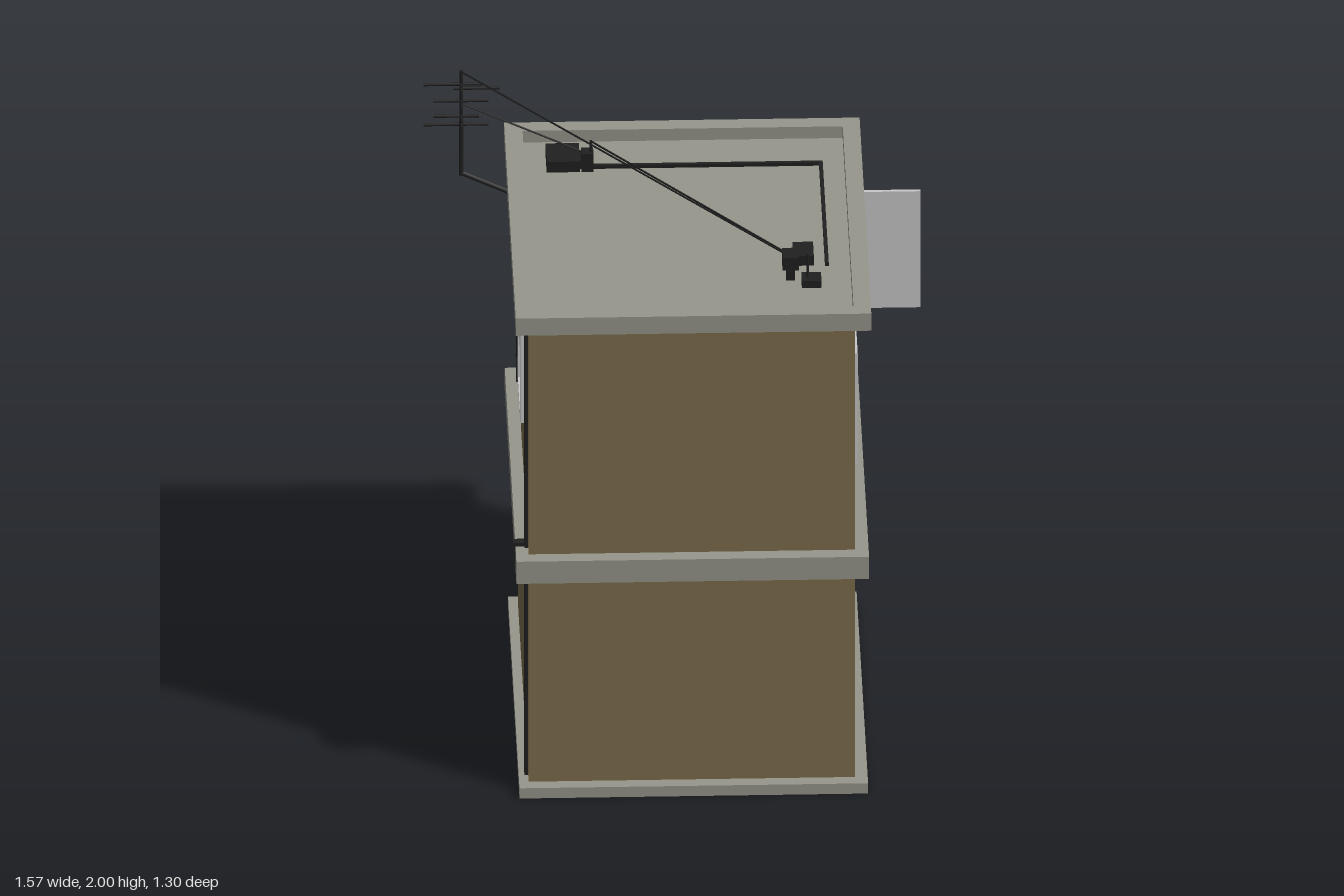
import * as THREE from 'three';

const mat = (name, color, side = THREE.FrontSide) => {
  const m = new THREE.MeshStandardMaterial({ color, side });
  m.name = name;
  return m;
};

export function createModel() {
  const root = new THREE.Group();
  root.name = 'building';
  const wall = mat('brown wall', 0x7e6f4c, THREE.DoubleSide);
  const stone = mat('grey stone', 0x96968b);
  const pale = mat('pale grey', 0xc8c8ca);
  const glass = mat('yellow glass', 0xc9bf0e);
  const black = mat('black metal', 0x202020);
  const doorGrey = mat('door grey', 0x707070);
  const frameGrey = mat('dark frame grey', 0x464646);

  const add = (name, geo, m, parent = root) => {
    const mesh = new THREE.Mesh(geo, m);
    mesh.name = name;
    parent.add(mesh);
    return mesh;
  };
  // Box given by its minimum and maximum corners
  const box = (name, m, x0, x1, y0, y1, z0, z1, parent = root) => {
    const b = add(name, new THREE.BoxGeometry(x1 - x0, y1 - y0, z1 - z0), m, parent);
    b.position.set((x0 + x1) / 2, (y0 + y1) / 2, (z0 + z1) / 2);
    return b;
  };
  // Straight thin rod between two points
  const rod = (name, a, b, r, m = black, parent = root) => {
    const p = new THREE.Vector3(...a), q = new THREE.Vector3(...b);
    const d = q.clone().sub(p);
    const mesh = add(name, new THREE.CylinderGeometry(r, r, d.length(), 6), m, parent);
    mesh.position.copy(p).add(q).multiplyScalar(0.5);
    mesh.quaternion.setFromUnitVectors(new THREE.Vector3(0, 1, 0), d.normalize());
    return mesh;
  };
  const rect = (S, x0, x1, y0, y1) => new S().moveTo(x0, y0).lineTo(x1, y0).lineTo(x1, y1).lineTo(x0, y1).closePath();
  const panel = (outer, holes, depth) => {
    const s = rect(THREE.Shape, ...outer);
    holes.forEach((h) => s.holes.push(rect(THREE.Path, ...h)));
    return new THREE.ExtrudeGeometry(s, { depth, bevelEnabled: false });
  };
  // Horizontal rectangular ring; bounds are x0, x1, z0, z1
  const ring = (name, o, i, y0, y1) => {
    const flip = ([a, b, c, d]) => [a, b, -d, -c];
    const geo = panel(flip(o), [flip(i)], y1 - y0);
    geo.rotateX(-Math.PI / 2);
    add(name, geo, stone).position.y = y0;
  };

  // Walls, open at the bottom
  const X0 = -0.485, X1 = 0.545, Z0 = -0.555, Z1 = 0.595;
  const shell = panel([X0, X1, -Z1, -Z0], [[X0 + 0.004, X1 - 0.004, -Z1 + 0.004, -Z0 - 0.004]], 1.69);
  shell.rotateX(-Math.PI / 2);
  add('walls', shell, wall).position.y = 0.005;

  // Plinth, middle band, cornice and roof
  ring('plinth', [-0.515, 0.585, -0.595, 0.637], [-0.46, 0.52, -0.53, 0.57], 0, 0.037);
  ring('middleBand', [-0.525, 0.588, -0.605, 0.642], [-0.46, 0.52, -0.53, 0.57], 0.78, 0.86);
  ring('cornice', [-0.527, 0.595, -0.615, 0.645], [-0.47, 0.54, -0.56, 0.595], 1.68, 1.742);
  box('roofDeck', stone, -0.475, 0.541, 1.684, 1.70, -0.561, 0.596);

  // Facade groups: local x runs to the viewer's right, local z points outwards
  const facade = (name, x, z, ry) => {
    const g = new THREE.Group();
    g.name = name;
    g.position.set(x, 0, z);
    g.rotation.y = ry;
    root.add(g);
    return g;
  };
  const back = facade('backFacade', 0, Z0, Math.PI);
  const right = facade('positiveXFacade', X1, 0, Math.PI / 2);
  const left = facade('negativeXFacade', X0, 0, -Math.PI / 2);

  const windowAt = (parent, cx, y0, w, h) => {
    const g = new THREE.Group();
    g.name = 'window';
    g.position.set(cx, y0, 0);
    parent.add(g);
    const f = 0.014, a = w / 2 - f;
    add('windowFrame', panel([-w / 2, w / 2, 0, h],
      [[-a, a, f, h * 0.61], [-a, a, h * 0.7, h - f]], 0.013), pale, g);
    box('windowGlass', glass, -a, a, f, h - f, 0, 0.005, g);
  };
  for (const z of [0.302, -0.268]) windowAt(right, -z, 1.085, 0.285, 0.4);
  windowAt(right, 0.008, 0.25, 0.28, 0.405);
  windowAt(left, 0.008, 1.085, 0.285, 0.4);
  windowAt(back, -0.065, 1.085, 0.285, 0.4);
  for (const x of [-0.388, 0.275]) {
    windowAt(back, x, 0.3, 0.195, 0.255);
    windowAt(back, x, 1.175, 0.195, 0.255);
  }

  // Door
  const door = new THREE.Group();
  door.name = 'door';
  door.position.x = -0.068;
  back.add(door);
  add('doorFrame', panel([-0.16, 0.16, 0.037, 0.562], [[-0.115, 0.115, 0.037, 0.518]], 0.025), frameGrey, door);
  box('doorLeaf', doorGrey, -0.115, 0.115, 0.037, 0.518, 0, 0.01, door);
  box('doorLock', black, -0.1, -0.065, 0.25, 0.34, 0.01, 0.018, door);
  rod('doorHandle', [-0.085, 0.26, 0.025], [-0.085, 0.33, 0.025], 0.007, black, door);

  // Sign board above the door
  box('signMount', stone, -0.085, 0.2, 0.79, 0.85, -0.642, -0.6);
  box('signBoard', stone, -0.245, 0.345, 0.742, 0.915, -0.652, -0.64);
  box('signFace', pale, -0.236, 0.336, 0.751, 0.906, -0.655, -0.651);

  // Projecting sign
  box('bladeSign', pale, 0.59, 0.785, 1.105, 1.525, -0.533, -0.521);
  const trim = add('bladeSignBorder', panel([-0.07, 0.07, -0.172, 0.172], [[-0.05, 0.05, -0.15, 0.15]], 0.004), black);
  trim.position.set(0.6875, 1.315, -0.532);
  trim.rotation.y = Math.PI;
  box('bladeSignCentre', black, 0.657, 0.718, 1.19, 1.44, -0.536, -0.532);
  for (const y of [1.145, 1.485]) {
    box('bracketPlate', black, X1, X1 + 0.01, y - 0.027, y + 0.027, -0.55, -0.497);
    box('bracketArm', black, X1, 0.595, y - 0.01, y + 0.01, -0.538, -0.515);
  }

  // Drainpipe and gutter, stepping around the middle band
  for (const [y0, y1] of [[0.037, 0.78], [0.86, 1.68]])
    box('drainPipe', black, -0.497, -0.478, y0, y1, 0.505, 0.553);
  box('drainPipeStep', black, -0.532, -0.522, 0.77, 0.87, 0.515, 0.543);
  for (const y of [0.765, 0.86])
    box('drainPipeElbow', black, -0.532, -0.48, y, y + 0.012, 0.515, 0.543);
  box('gutter', black, -0.497, -0.482, 1.64, 1.68, 0.03, 0.553);

  // Bare creeper around the back corner: u < 0 lies on the back wall, u > 0 on the side wall
  const stems = [
    [[-0.01, 0.87], [-0.05, 0.96], [-0.02, 1.05], [-0.06, 1.15], [-0.02, 1.27], [-0.07, 1.37], [-0.04, 1.45], [-0.09, 1.52]],
    [[0.06, 0.87], [0.02, 0.94], [0.05, 1.04], [0.02, 1.15], [0.06, 1.26], [0.03, 1.36], [0.08, 1.45]],
    [[-0.05, 0.96], [-0.12, 1.0], [-0.14, 1.06]], [[-0.06, 1.15], [-0.13, 1.17]],
    [[-0.02, 1.05], [-0.1, 1.09]], [[-0.02, 1.27], [-0.1, 1.27], [-0.12, 1.31]],
    [[-0.07, 1.37], [-0.12, 1.42]], [[0.05, 1.04], [0.11, 1.08]],
    [[0.06, 1.26], [0.13, 1.3], [0.15, 1.36]], [[0.02, 0.94], [0.1, 0.91]],
    [[-0.02, 1.27], [-0.002, 1.3]], [[0.002, 1.3], [0.03, 1.36]],
  ];
  const onWall = ([u, y]) => (u < 0 ? [X0 - u, y, Z0 - 0.003] : [X0 - 0.003, y, Z0 + u]);
  stems.forEach((s) => {
    for (let i = 1; i < s.length; i++) rod('creeper', onWall(s[i - 1]), onWall(s[i]), 0.005);
  });

  // Aerial
  const mx = -0.665, mz = -0.497;
  box('aerialPlate', black, -0.495, -0.484, 1.5, 1.59, -0.535, -0.46);
  rod('aerialArm', [-0.487, 1.545, mz], [mx, 1.63, mz], 0.008);
  rod('aerialMast', [mx, 1.622, mz], [mx, 1.82, mz], 0.008);
  rod('aerialMastTop', [mx, 1.8, mz], [mx, 2, mz], 0.006);
  for (const [y, x0, x1] of [[1.95, -0.785, -0.6], [1.935, -0.69, -0.545], [1.89, -0.755, -0.58],
    [1.835, -0.755, -0.61], [1.805, -0.785, -0.58]])
    rod('aerialElement', [x0, y, mz], [x1, y, mz], 0.005);
  for (const [y, d] of [[1.95, 0.05], [1.89, 0.045], [1.84, 0.05], [1.81, 0.035]])
    rod('aerialCrossElement', [mx, y, mz - d], [mx, y, mz + d], 0.004);

  // Rooftop boxes and conduit
  const roofBoxes = [
    [-0.4, -0.295, 1.738, -0.485, -0.365], [-0.295, -0.265, 1.73, -0.45, -0.385],
    [-0.29, -0.252, 1.765, -0.408, -0.365], [0.36, 0.425, 1.735, 0.165, 0.257],
    [0.383, 0.445, 1.725, 0.343, 0.4],
  ];
  for (const [x0, x1, top, z0, z1] of roofBoxes) box('roofBox', black, x0, x1, 1.7, top, z0, z1);
  box('junctionBox', black, 0.323, 0.375, 1.745, 1.79, 0.3, 0.367);
  box('junctionStand', black, 0.335, 0.363, 1.7, 1.745, 0.315, 0.35);
  box('conduit', black, -0.255, 0.472, 1.7, 1.712, -0.396, -0.384);
  box('conduit', black, 0.46, 0.472, 1.7, 1.712, -0.39, 0.26);
  rod('roofPost', [-0.26, 1.7, -0.38], [-0.26, 1.805, -0.38], 0.004);
  rod('roofPost', [0.402, 1.7, 0.373], [0.402, 1.81, 0.373], 0.004);

  // Cables
  rod('cable', [mx, 1.995, mz], [0.345, 1.78, 0.335], 0.003);
  rod('cable', [mx, 1.88, mz], [-0.27, 1.755, -0.385], 0.003);
  rod('cable', [-0.26, 1.803, -0.38], [0.355, 1.765, 0.31], 0.003);
  return root;
}
